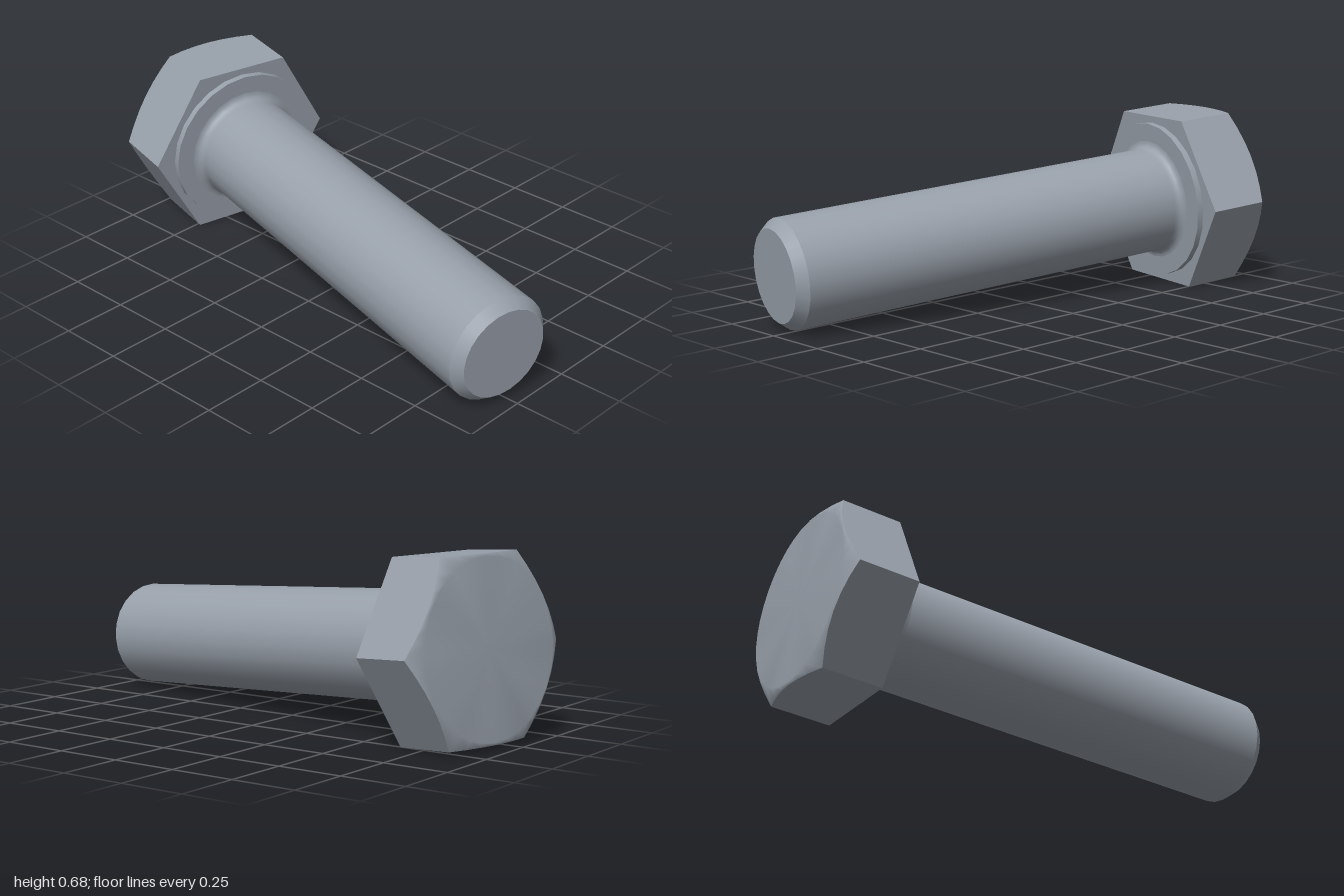
import * as THREE from 'three';

// Local frame: +y runs along the bolt, y = 0 is the bearing plane of the hex head
const HEX_R = 0.383, HEAD_H = 0.231, FLAT_R = 0.322;
const SHANK_R = 0.205, TIP_R = 0.173, LENGTH = 1.675, CHAMFER = 0.04;
const WASHER_R = 0.306, WASHER_H = 0.025, FILLET = 0.03;
const SIDES = 6, STEPS = 6, SEGMENTS = 24;

// Back surface of the head: a 30 degree cone cutting the hexagon
const backY = r => -HEAD_H - Math.tan(Math.PI / 6) * (HEX_R - r);

function geometryFrom(points, index) {
  const g = new THREE.BufferGeometry();
  g.setAttribute('position', new THREE.Float32BufferAttribute(points.flat(), 3));
  g.setIndex(index);
  g.computeVertexNormals();
  return g;
}

// Points around the hexagon outline, [x, z]
function hexOutline() {
  const out = [];
  for (let s = 0; s < SIDES; s++) {
    const a = s * Math.PI / 3, b = a + Math.PI / 3;
    for (let i = 0; i < STEPS; i++) {
      const t = i / STEPS;
      out.push([
        HEX_R * THREE.MathUtils.lerp(Math.cos(a), Math.cos(b), t),
        HEX_R * THREE.MathUtils.lerp(Math.sin(a), Math.sin(b), t),
      ]);
    }
  }
  return out;
}

// Six flat sides with the curved edge left by the chamfer
function headSides(outline) {
  const points = [], index = [];
  for (let s = 0; s < SIDES; s++) {
    const base = points.length;
    for (let i = 0; i <= STEPS; i++) {
      const [x, z] = outline[(s * STEPS + i) % outline.length];
      points.push([x, 0, z], [x, backY(Math.hypot(x, z)), z]);
      if (i < STEPS) {
        const k = base + 2 * i;
        index.push(k, k + 2, k + 1, k + 2, k + 3, k + 1);
      }
    }
  }
  return geometryFrom(points, index);
}

// Smoothly shaded chamfered end of the head
function headCap(outline) {
  const n = outline.length, points = [[0, backY(FLAT_R), 0]], index = [];
  outline.forEach(([x, z], i) => {
    const r = Math.hypot(x, z), k = FLAT_R / r;
    points.push([x * k, backY(FLAT_R), z * k], [x, backY(r), z]);
    const i1 = 1 + 2 * i, i2 = 1 + 2 * ((i + 1) % n);
    index.push(0, i1, i2, i1, i1 + 1, i2 + 1, i1, i2 + 1, i2);
  });
  return geometryFrom(points, index);
}

const lathe = pts =>
  new THREE.LatheGeometry(pts.map(([r, y]) => new THREE.Vector2(r, y)), SEGMENTS);

export function createModel() {
  const steel = new THREE.MeshStandardMaterial({ color: 0x98a0aa });
  steel.name = 'steel';
  const model = new THREE.Group();
  model.name = 'hexBolt';
  const add = (name, geometry) => {
    const mesh = new THREE.Mesh(geometry, steel);
    mesh.name = name;
    model.add(mesh);
  };

  // Hex head
  const outline = hexOutline();
  add('headSides', headSides(outline));
  add('headCap', headCap(outline));
  const bearing = [0, 1, 2, 3, 4, 5].map(i =>
    [HEX_R * Math.cos(i * Math.PI / 3), 0, HEX_R * Math.sin(i * Math.PI / 3)]);
  add('headBearingFace', geometryFrom(bearing, [0, 2, 1, 0, 3, 2, 0, 4, 3, 0, 5, 4]));

  // Raised washer face
  add('washerRim', lathe([[WASHER_R, 0], [WASHER_R, WASHER_H]]));
  add('washerFace', lathe([[WASHER_R, WASHER_H], [SHANK_R + FILLET, WASHER_H]]));

  // Shank with a fillet at its root
  const profile = [];
  for (let i = 0; i <= 5; i++) {
    const a = i / 5 * Math.PI / 2;
    profile.push([
      SHANK_R + FILLET * (1 - Math.sin(a)),
      WASHER_H + FILLET * (1 - Math.cos(a)),
    ]);
  }
  profile.push([SHANK_R, WASHER_H + FILLET + 0.01], [SHANK_R, LENGTH - CHAMFER]);
  add('shank', lathe(profile));

  // Chamfered tip
  add('tipChamfer', lathe([[SHANK_R, LENGTH - CHAMFER], [TIP_R, LENGTH]]));
  add('tipFace', lathe([[TIP_R, LENGTH], [0, LENGTH]]));

  // Lay the bolt down, resting on the tip and a flat of the head
  const axis = new THREE.Vector3(0.9752, -0.0761, 0.2077).normalize();
  const across = new THREE.Vector3(axis.z, 0, -axis.x).normalize();
  const third = new THREE.Vector3().crossVectors(across, axis);
  model.quaternion.setFromRotationMatrix(
    new THREE.Matrix4().makeBasis(across, axis, third));
  model.position.set(-0.672, 0.331, -0.06);

  const root = new THREE.Group();
  root.name = 'bolt';
  root.add(model);
  return root;
}
